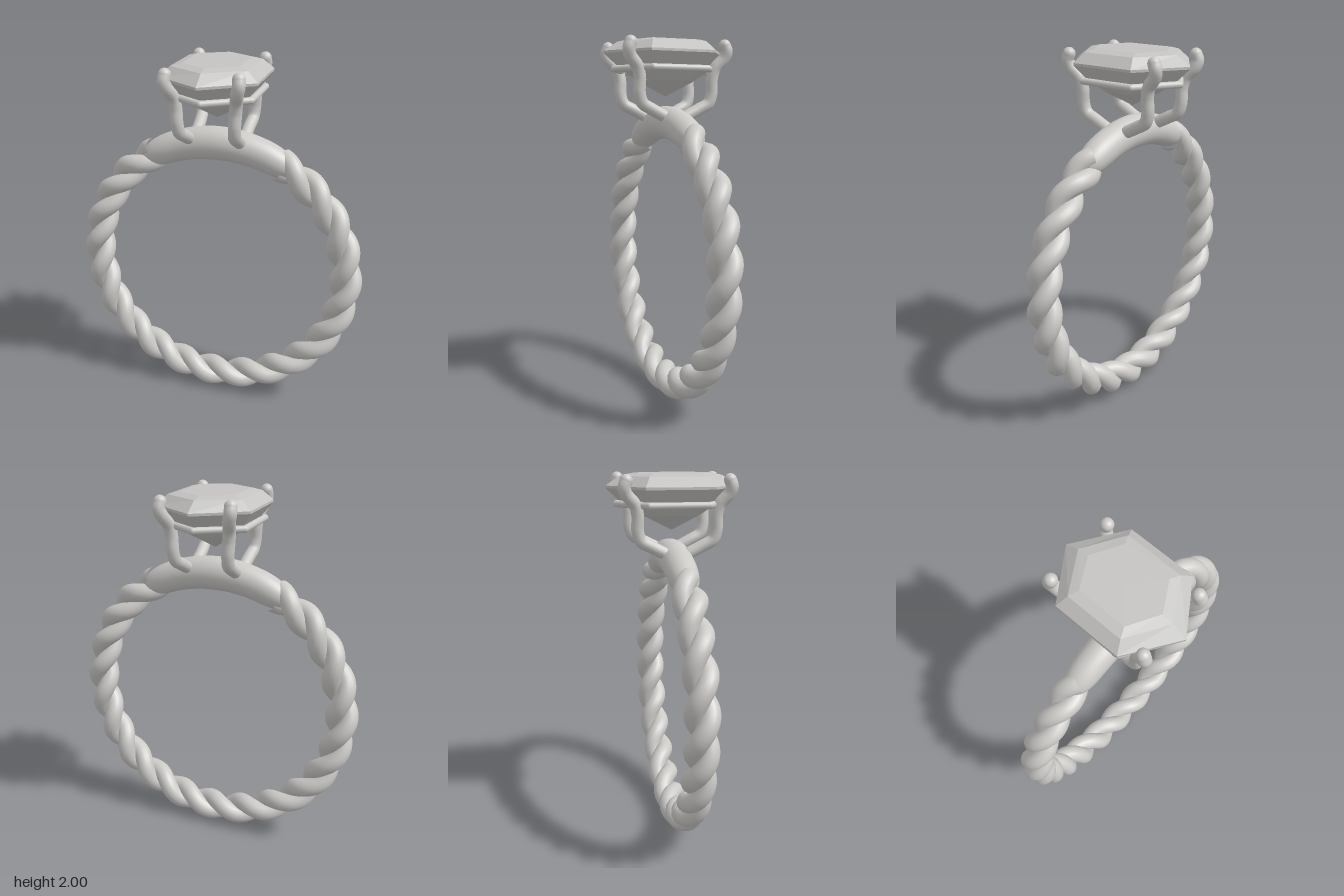
import * as THREE from 'three';
import { mergeVertices } from 'three/addons/utils/BufferGeometryUtils.js';

const metal = new THREE.MeshStandardMaterial({ color: 0xcbcac7 });
metal.name = 'metal';
const stone = new THREE.MeshStandardMaterial({ color: 0xc4c3c1 });
stone.name = 'stone';

const CENTER_Y = 0.825; // centre of the hoop
const RADIUS = 0.734; // hoop centreline
const TURNS = 12;

function add(parent, name, geometry, material) {
  const mesh = new THREE.Mesh(geometry, material);
  mesh.name = name;
  parent.add(mesh);
  return mesh;
}

function ball(parent, name, position, radius) {
  add(parent, name, new THREE.SphereGeometry(radius, 20, 14), metal).position.copy(position);
}

// One strand of the two-ply rope, winding round the hoop
class StrandCurve extends THREE.Curve {
  constructor(phase) {
    super();
    this.phase = phase;
  }
  getPoint(t, target = new THREE.Vector3()) {
    const gap = THREE.MathUtils.degToRad(28);
    const a = Math.PI / 2 + gap + t * (2 * Math.PI - 2 * gap);
    const twist = -TURNS * a + this.phase;
    const r = RADIUS + 0.038 * Math.cos(twist);
    return target.set(r * Math.cos(a), CENTER_Y + r * Math.sin(a), 0.038 * Math.sin(twist));
  }
}

// Plain top of the hoop: a tapered rod bent along the hoop
function bandGeometry() {
  const half = [[0.44, 0], [0.43, 0.03], [0.41, 0.052], [0.37, 0.07], [0.3, 0.081], [0.2, 0.085], [0.1, 0.088]];
  const profile = [
    ...half.map(([y, r]) => new THREE.Vector2(r, -y)),
    new THREE.Vector2(0.09, 0),
    ...half.slice().reverse().map(([y, r]) => new THREE.Vector2(r, y)),
  ];
  const smooth = new THREE.SplineCurve(profile).getPoints(60);
  smooth.forEach((p) => { p.x = Math.max(p.x, 0); });
  let g = new THREE.LatheGeometry(smooth, 32);
  const p = g.attributes.position;
  for (let i = 0; i < p.count; i++) {
    const a = Math.PI / 2 + p.getY(i) / RADIUS;
    const r = RADIUS + p.getX(i);
    p.setXYZ(i, r * Math.cos(a), CENTER_Y + r * Math.sin(a), p.getZ(i));
  }
  g.deleteAttribute('uv');
  g.deleteAttribute('normal');
  g = mergeVertices(g);
  g.computeVertexNormals();
  return g;
}

// Elongated hexagon: half width, half length of the sides, half length at the points
function hexagon(w, side, tip, y) {
  return [[w, side], [0, tip], [-w, side], [-w, -side], [0, -tip], [w, -side]]
    .map(([x, z]) => new THREE.Vector3(x, y, z));
}

// Faceted stone from stacked hexagons, top to bottom
function gemGeometry() {
  const rings = [
    hexagon(0.15, 0.13, 0.215, 1.998),
    hexagon(0.2, 0.152, 0.275, 1.985),
    hexagon(0.255, 0.18, 0.353, 1.935),
    hexagon(0.255, 0.18, 0.353, 1.922),
    hexagon(0.2, 0.14, 0.27, 1.85),
    hexagon(0.125, 0.09, 0.165, 1.782),
  ];
  const points = [];
  const top = new THREE.Vector3(0, 1.998, 0);
  const culet = new THREE.Vector3(0, 1.7, 0);
  const last = rings[rings.length - 1];
  for (let i = 0; i < 6; i++) {
    const j = (i + 1) % 6;
    points.push(top, rings[0][j], rings[0][i]);
    for (let k = 0; k < rings.length - 1; k++) {
      const [a, b, c, d] = [rings[k][i], rings[k][j], rings[k + 1][j], rings[k + 1][i]];
      points.push(a, b, c, a, c, d);
    }
    points.push(last[i], last[j], culet);
  }
  const g = new THREE.BufferGeometry().setFromPoints(points);
  // Put every triangle's front on the outside
  const p = g.attributes.position;
  const mid = new THREE.Vector3(0, 1.88, 0);
  const tri = new THREE.Triangle();
  const n = new THREE.Vector3();
  const c = new THREE.Vector3();
  for (let i = 0; i < p.count; i += 3) {
    tri.setFromAttributeAndIndices(p, i, i + 1, i + 2);
    tri.getNormal(n);
    tri.getMidpoint(c).sub(mid);
    if (n.dot(c) < 0) {
      p.setXYZ(i + 1, tri.c.x, tri.c.y, tri.c.z);
      p.setXYZ(i + 2, tri.b.x, tri.b.y, tri.b.z);
    }
  }
  g.computeVertexNormals();
  return g;
}

// Bent claw rising from the band and gripping the stone
function makeProng(sx, sz) {
  const prong = new THREE.Group();
  prong.name = `${sz > 0 ? 'front' : 'back'}${sx > 0 ? 'Left' : 'Right'}Prong`;
  const path = [
    [0.138, 1.595, 0.07], [0.14, 1.628, 0.135], [0.146, 1.66, 0.19], [0.15, 1.71, 0.208],
    [0.155, 1.79, 0.208], [0.162, 1.845, 0.222], [0.178, 1.9, 0.268], [0.188, 1.935, 0.279], [0.186, 1.967, 0.268],
  ].map(([x, y, z]) => new THREE.Vector3(sx * x, y, sz * z));
  add(prong, 'prongWire', new THREE.TubeGeometry(new THREE.CatmullRomCurve3(path), 56, 0.033, 16), metal);
  ball(prong, 'prongFoot', path[0], 0.033);
  ball(prong, 'prongTip', path[path.length - 1], 0.033);
  return prong;
}

// Thin hexagonal wire under the stone
function makeRail() {
  const rail = new THREE.Group();
  rail.name = 'galleryRail';
  const corners = hexagon(0.218, 0.155, 0.296, 1.842);
  corners.forEach((a, i) => {
    const b = corners[(i + 1) % 6];
    const rod = add(rail, 'railRod', new THREE.CylinderGeometry(0.018, 0.018, a.distanceTo(b), 16, 1, true), metal);
    rod.position.copy(a).lerp(b, 0.5);
    rod.quaternion.setFromUnitVectors(new THREE.Vector3(0, 1, 0), b.clone().sub(a).normalize());
    ball(rail, 'railCorner', a, 0.018);
  });
  return rail;
}

export function createModel() {
  const ring = new THREE.Group();
  ring.name = 'ring';

  // Hoop
  for (const phase of [0, Math.PI]) {
    add(ring, 'ropeStrand', new THREE.TubeGeometry(new StrandCurve(phase), 520, 0.052, 18), metal);
  }
  add(ring, 'band', bandGeometry(), metal);

  // Setting and stone
  for (const sx of [1, -1]) for (const sz of [1, -1]) ring.add(makeProng(sx, sz));
  ring.add(makeRail());
  add(ring, 'gemstone', gemGeometry(), stone);
  return ring;
}
